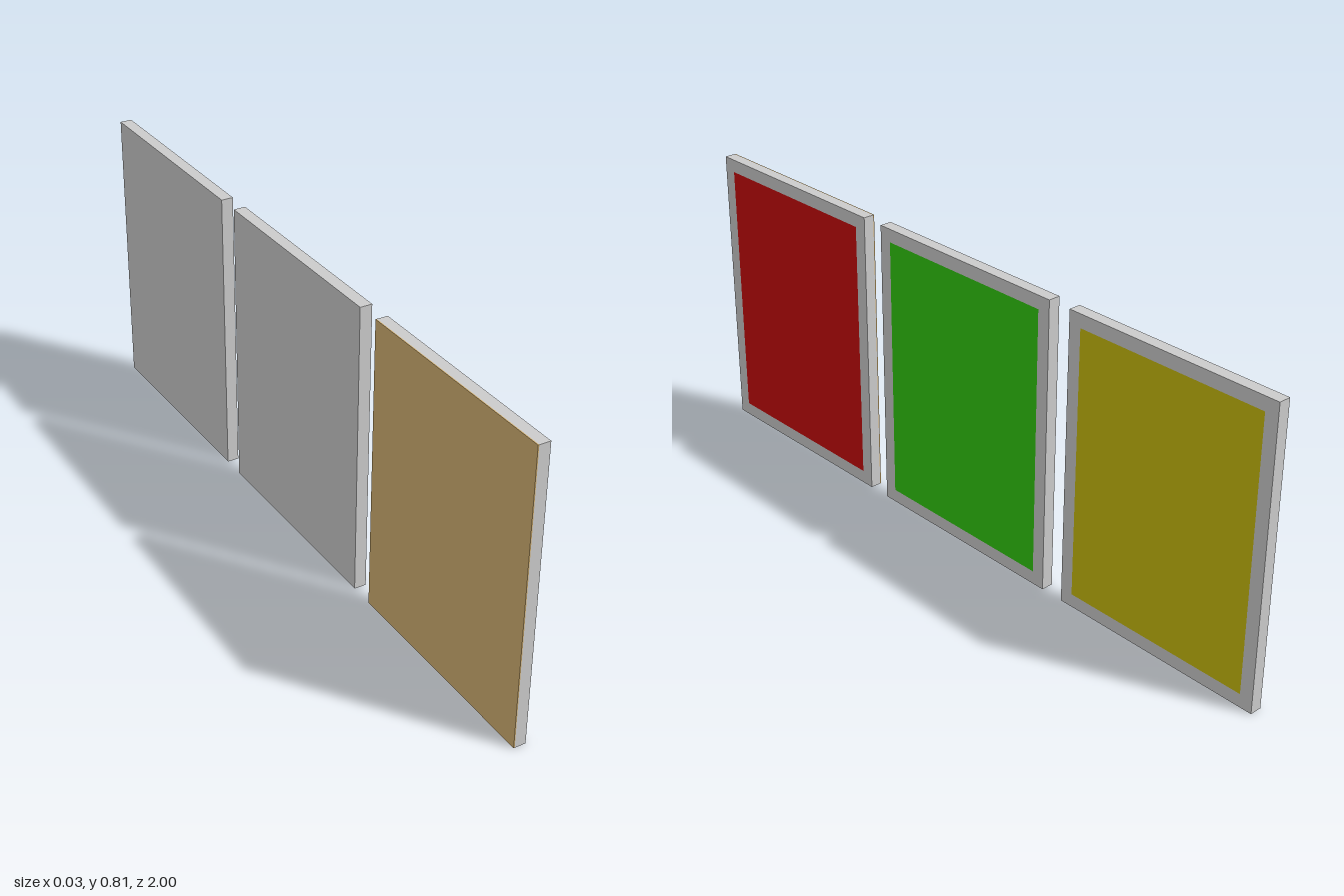
import * as THREE from 'three';

const W = 0.622, H = 0.81;      // outer size of a panel
const PW = 0.549, PH = 0.737;   // size of the coloured inset
const T = 0.033, BACK = 0.003;  // panel thickness, backing thickness

const material = (color) => new THREE.MeshStandardMaterial({ color, flatShading: true });

function addMesh(parent, name, geometry, color) {
  const mesh = new THREE.Mesh(geometry, material(color));
  mesh.name = name;
  parent.add(mesh);
  return mesh;
}

function rectangle(path, w, h) {
  return path.moveTo(-w / 2, -h / 2).lineTo(w / 2, -h / 2)
    .lineTo(w / 2, h / 2).lineTo(-w / 2, h / 2).closePath();
}

// One framed panel, built facing +z
function framedPanel(name, color, backColor) {
  const panel = new THREE.Group();
  panel.name = name;

  // Border with a rectangular opening
  const outline = rectangle(new THREE.Shape(), W, H);
  outline.holes.push(rectangle(new THREE.Path(), PW, PH));
  const border = new THREE.ExtrudeGeometry(outline, { depth: T - BACK, bevelEnabled: false });
  addMesh(panel, 'frame', border, 0xcccccc).position.z = BACK - T / 2;

  // Coloured inset, flush with the border
  addMesh(panel, 'inset', new THREE.BoxGeometry(PW, PH, T - BACK), color).position.z = BACK / 2;

  // Thin backing board
  addMesh(panel, 'backing', new THREE.BoxGeometry(W, H, BACK), backColor).position.z = (BACK - T) / 2;
  return panel;
}

export function createModel() {
  const model = new THREE.Group();
  model.name = 'framedPanels';

  // Three panels in a row along z, all facing +x
  [
    ['redPanel', 0xc80c0c, 0xd4b273, 0.689],
    ['greenPanel', 0x30c80f, 0xcccccc, 0],
    ['yellowPanel', 0xc8bc0d, 0xcccccc, -0.689],
  ].forEach(([name, color, backColor, z]) => {
    const panel = framedPanel(name, color, backColor);
    panel.rotation.y = Math.PI / 2;
    panel.position.set(0, H / 2, z);
    model.add(panel);
  });
  return model;
}
